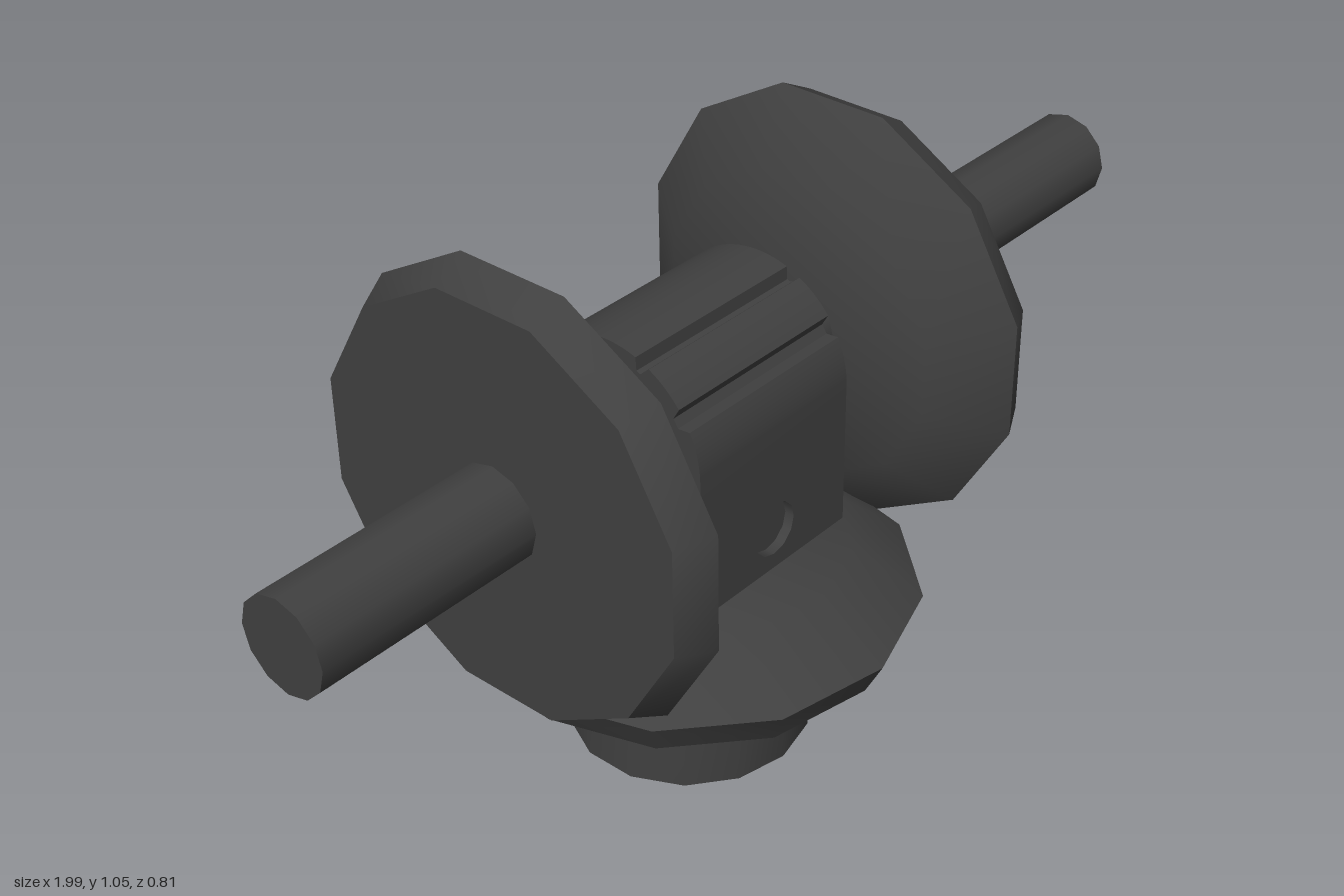
import * as THREE from 'three';
import { toCreasedNormals } from 'three/addons/utils/BufferGeometryUtils.js';

const dark = new THREE.MeshStandardMaterial({ color: 0x404040 });
const AXLE_Y = 0.653, AXLE_Z = -0.008, MID_X = -0.137;

function part(name, geometry, x, y, z, crease = 0.9) {
  const mesh = new THREE.Mesh(toCreasedNormals(geometry, crease), dark);
  mesh.name = name;
  mesh.position.set(x, y, z);
  return mesh;
}

// twelve-sided bevel wheel; the wide face sits at y = 0 and the small face at the top
function bevelWheel(phase) {
  const profile = [[0, 0], [0.373, 0], [0.406, 0.064], [0.285, 0.155], [0, 0.155]]
    .map(([r, y]) => new THREE.Vector2(r, y));
  return new THREE.LatheGeometry(profile, 12, phase);
}

// upper hub: an arch around the axle with clamp grooves, extruded along x
function archGeometry() {
  const r = 0.188, base = 0.575 - AXLE_Y;
  const grooves = [33, 68, 134];
  const shape = new THREE.Shape();
  shape.moveTo(-r, base);
  shape.lineTo(r, base);
  const steps = 60;
  for (let i = 0; i <= steps; i++) {
    const deg = (i / steps) * 180;
    const cut = grooves.some((g) => Math.abs(deg - g) < 4) ? 0.022 : 0;
    const a = THREE.MathUtils.degToRad(deg);
    shape.lineTo((r - cut) * Math.cos(a), (r - cut) * Math.sin(a));
  }
  return new THREE.ExtrudeGeometry(shape, { depth: 0.37, bevelEnabled: false }).rotateY(-Math.PI / 2);
}

// lower hub: a block with a small pin hole from front to back
function blockGeometry() {
  const shape = new THREE.Shape();
  shape.moveTo(-0.185, 0);
  shape.lineTo(0.185, 0);
  shape.lineTo(0.185, 0.19);
  shape.lineTo(-0.185, 0.19);
  const hole = new THREE.Path();
  hole.absarc(0, 0.078, 0.05, 0, Math.PI * 2, true);
  shape.holes.push(hole);
  return new THREE.ExtrudeGeometry(shape, { depth: 0.376, bevelEnabled: false, curveSegments: 6 });
}

export function createModel() {
  const group = new THREE.Group();
  group.name = 'bevelGearAssembly';

  // axle running through both side wheels and the hub
  const axle = part('axle', new THREE.CylinderGeometry(0.086, 0.086, 1.99, 12), -0.005, AXLE_Y, AXLE_Z);
  axle.rotation.z = Math.PI / 2;
  group.add(axle);

  // facing pair of side wheels, small faces inwards
  for (const [name, x, turn] of [['rightWheel', -0.575, -1], ['leftWheel', 0.306, 1]]) {
    const wheel = part(name, bevelWheel(Math.PI / 12), x, AXLE_Y, AXLE_Z);
    wheel.rotation.z = turn * Math.PI / 2;
    group.add(wheel);
  }

  // bottom wheel and its stem
  group.add(part('bottomWheel', bevelWheel(0.05), -0.14, 0.215, -0.003));
  group.add(part('stem', new THREE.CylinderGeometry(0.216, 0.216, 0.23, 14), -0.144, 0.115, 0));

  // central hub
  const hub = new THREE.Group();
  hub.name = 'hub';
  hub.add(part('hubArch', archGeometry(), 0.055, AXLE_Y, AXLE_Z, 0.5));
  hub.add(part('hubBlock', blockGeometry(), MID_X + 0.007, 0.385, AXLE_Z - 0.188));
  // pin closing the hole just below the surface
  const pin = part('hubPin', new THREE.CylinderGeometry(0.05, 0.05, 0.34, 12), MID_X + 0.007, 0.463, AXLE_Z);
  pin.rotation.x = Math.PI / 2;
  hub.add(pin);
  group.add(hub);

  return group;
}
